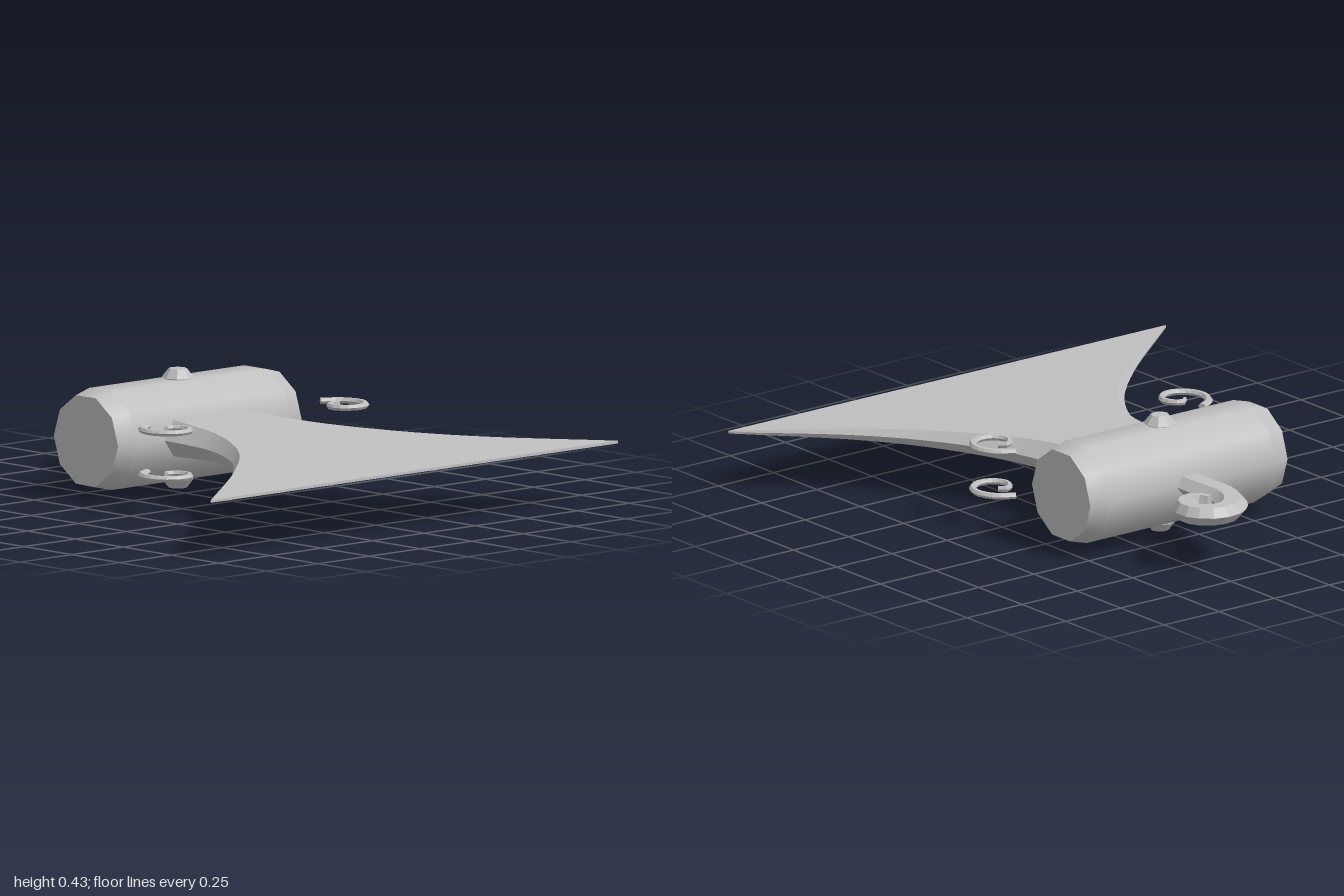
import * as THREE from 'three';

const MID_Y = 0.22;     // mid-plane of the head
const SOCKET_X = -0.365;
const MID_Z = -0.0725;  // mirror plane of the ornaments

// Lofts a flat-shaded solid through six-sided sections that lie across dir.
// Each section: x, y, z, dir [dx, dz], w (half width), top (half width of flat), h (half height)
function loft(sections) {
  const pos = [];
  const tri = (...pts) => pts.forEach((p) => pos.push(...p));
  const rings = sections.map(({ x, y, z, dir: [dx, dz], w, top, h }) =>
    [[w, 0], [top, h], [-top, h], [-w, 0], [-top, -h], [top, -h]]
      .map(([u, v]) => [x + dz * u, y + v, z - dx * u]));
  for (let k = 0; k < rings.length - 1; k++) {
    const a = rings[k], b = rings[k + 1];
    for (let i = 0; i < 6; i++) {
      const j = (i + 1) % 6;
      tri(a[i], a[j], b[j]);
      tri(a[i], b[j], b[i]);
    }
  }
  const first = rings[0], last = rings[rings.length - 1];
  for (let i = 1; i < 5; i++) {
    tri(first[0], first[i + 1], first[i]);
    tri(last[0], last[i], last[i + 1]);
  }
  const geo = new THREE.BufferGeometry();
  geo.setAttribute('position', new THREE.Float32BufferAttribute(pos, 3));
  geo.computeVertexNormals();
  return geo;
}

// Scroll swept along a flat path of [x, z] points, tapering from w0 to w1
function scroll(points, y, steps, w0, w1, h) {
  const curve = new THREE.CatmullRomCurve3(points.map(([x, z]) => new THREE.Vector3(x, y, z)));
  const sections = [];
  for (let i = 0; i <= steps; i++) {
    const t = i / steps;
    const p = curve.getPointAt(t), d = curve.getTangentAt(t);
    const w = w0 + (w1 - w0) * t * t;
    sections.push({ x: p.x, y, z: p.z, dir: [d.x, d.z], w, top: w * 0.5, h });
  }
  return loft(sections);
}

export function createModel() {
  const group = new THREE.Group();
  const steel = new THREE.MeshStandardMaterial({ color: 0xc0c0c0 });
  steel.name = 'steel';
  const add = (name, geo) => {
    const mesh = new THREE.Mesh(geo, steel);
    mesh.name = name;
    group.add(mesh);
    return mesh;
  };

  // Ten-sided socket with chamfered ends
  const drum = (name, rFront, rBack, z0, z1, open) => {
    const geo = new THREE.CylinderGeometry(rFront, rBack, z1 - z0, 10, 1, open, Math.PI / 2);
    geo.rotateX(Math.PI / 2);
    add(name, geo).position.set(SOCKET_X, MID_Y, (z0 + z1) / 2);
  };
  drum('socket', 0.187, 0.187, -0.45, 0.305, true);
  drum('socketFrontEnd', 0.168, 0.187, 0.305, 0.375, false);
  drum('socketBackEnd', 0.187, 0.168, -0.52, -0.45, false);

  // Rivets above and below the socket
  for (const side of [1, -1]) {
    const name = side > 0 ? 'topRivet' : 'bottomRivet';
    const cap = new THREE.CylinderGeometry(0.033, 0.058, 0.032, 8).toNonIndexed();
    const base = new THREE.CylinderGeometry(0.05, 0.05, 0.04, 8).toNonIndexed();
    for (const [geo, part, y] of [[cap, 'Cap', 0.199], [base, 'Base', 0.168]]) {
      geo.computeVertexNormals();
      if (side < 0) geo.rotateX(Math.PI);
      add(name + part, geo).position.set(SOCKET_X, MID_Y + side * y, MID_Z);
    }
  }

  // Flaring blade: key points are x, centre z, half width
  const flare = new THREE.CatmullRomCurve3([
    [-0.25, -0.0725, 0.235], [-0.17, -0.0725, 0.238], [0.08, -0.0725, 0.268],
    [0.35, -0.0625, 0.393], [0.61, -0.03, 0.61], [0.945, -0.005, 0.993],
  ].map((p) => new THREE.Vector3(...p)));
  const bladeSections = [];
  for (let i = 0; i <= 24; i++) {
    const p = flare.getPoint(i / 24);
    const f = Math.min(1, (0.945 - p.x) / 1.125);
    bladeSections.push({
      x: p.x, y: MID_Y, z: p.y, dir: [1, 0],
      w: p.z, top: p.z - 0.06 * f - 0.001, h: 0.005 + 0.06 * f,
    });
  }
  add('blade', loft(bladeSections));

  // Curled hook at the back of the socket
  add('rearHook', scroll([
    [-0.48, -0.075], [-0.62, -0.075], [-0.75, -0.075], [-0.83, -0.11], [-0.882, -0.18],
    [-0.868, -0.25], [-0.81, -0.288], [-0.75, -0.272], [-0.72, -0.225], [-0.735, -0.185],
    [-0.772, -0.168],
  ], MID_Y, 22, 0.066, 0.02, 0.033));

  // Four small curls beside the blade, mirrored front to back
  const curl = [
    [-0.072, -0.495], [-0.035, -0.555], [0.035, -0.582], [0.1, -0.555], [0.125, -0.5],
    [0.105, -0.45], [0.06, -0.43], [0.02, -0.45], [0.01, -0.48], [0.028, -0.495],
  ];
  for (const y of [0.305, 0.14]) {
    const level = y > MID_Y ? 'upper' : 'lower';
    add(level + 'BackCurl', scroll(curl, y, 18, 0.015, 0.009, 0.01));
    add(level + 'FrontCurl',
      scroll(curl.map(([x, z]) => [x, 2 * MID_Z - z]), y, 18, 0.015, 0.009, 0.01));
  }

  return group;
}
